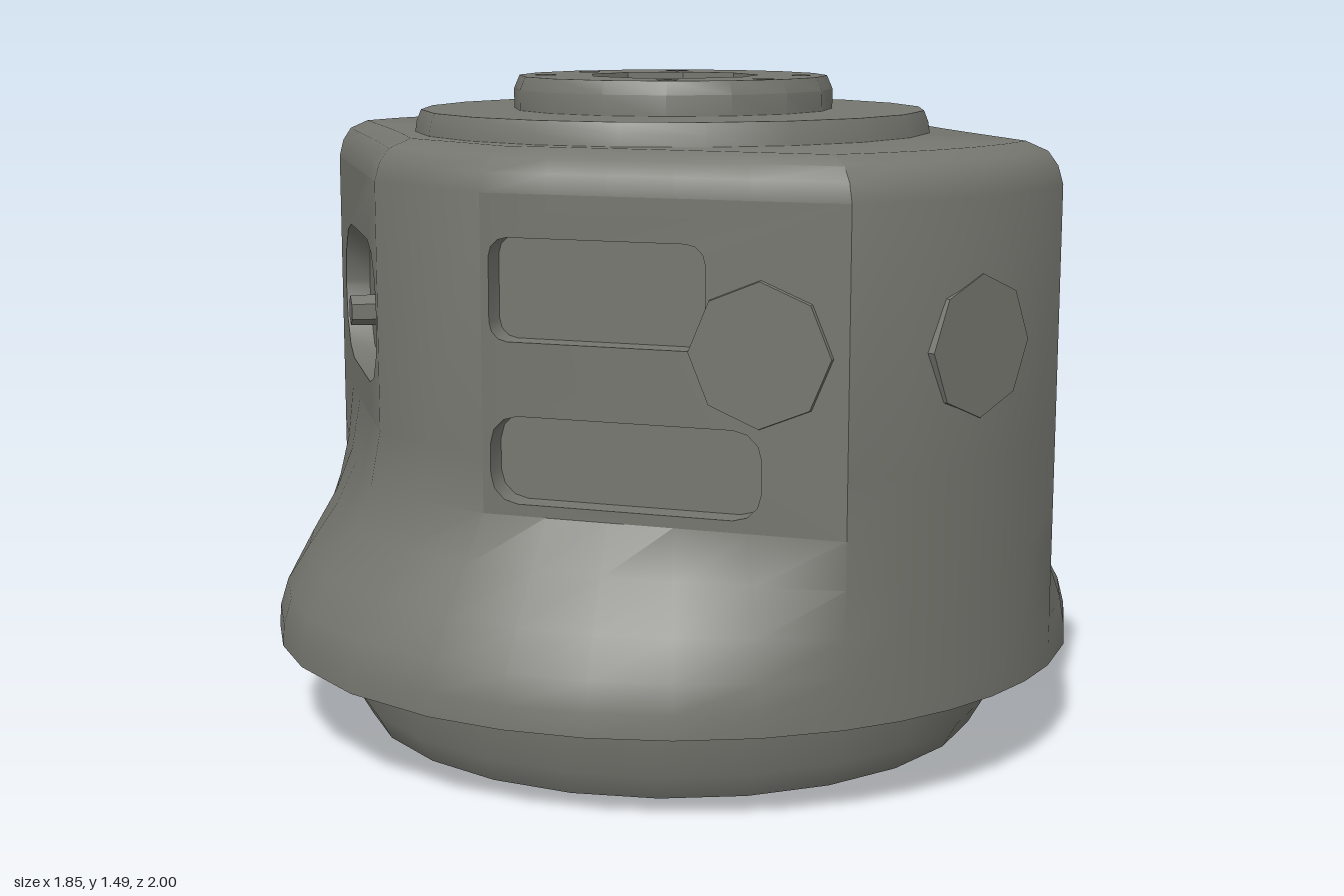
import * as THREE from 'three';
import { toCreasedNormals } from 'three/addons/utils/BufferGeometryUtils.js';

const CZ = 0.07;            // axis of the housing
const R = 0.925;            // round radius
const FLAT = 0.707;         // distance of the side flats from the axis
const TILT = THREE.MathUtils.degToRad(29);
const CORNER = TILT + Math.acos(FLAT / R);   // where flats meet the round faces
const LOW = 0.6, Y0 = 0.72, Y1 = 1.27;       // bottom of the slotted panel, of the others, and their top
const DEPTH = 0.06;

const mat = new THREE.MeshStandardMaterial({ color: 0x767670, side: THREE.DoubleSide });

function put(parent, name, geo) {
  const mesh = new THREE.Mesh(geo, mat);
  mesh.name = name;
  parent.add(mesh);
  return mesh;
}

const add = (parent, name, geo, crease = 0.55) => put(parent, name, toCreasedNormals(geo, crease));

function lathe(parent, name, pts, sides) {
  return add(parent, name, new THREE.LatheGeometry(pts.map(p => new THREE.Vector2(...p)), sides));
}

// Regular polygon outline
function ring(x, y, r, n, turn = 0) {
  return Array.from({ length: n }, (_, i) => {
    const a = turn + i / n * Math.PI * 2;
    return new THREE.Vector2(x + r * Math.cos(a), y + r * Math.sin(a));
  });
}

// Rounded slot outline between x0 and x1
function slot(x0, x1, y0, y1, r) {
  const pts = [];
  const corners = [[x1 - r, y1 - r], [x0 + r, y1 - r], [x0 + r, y0 + r], [x1 - r, y0 + r]];
  corners.forEach(([cx, cy], q) => {
    for (let i = 0; i <= 3; i++) {
      const a = (q + i / 3) * Math.PI / 2;
      pts.push(new THREE.Vector2(cx + r * Math.cos(a), cy + r * Math.sin(a)));
    }
  });
  return pts;
}

// Radius of the cut upper section at an angle from +x
function cutRadius(a) {
  let r = R;
  for (const side of [0, Math.PI]) for (const t of [-TILT, 0, TILT]) {
    const c = Math.cos(a - side - t);
    if (c > 0) r = Math.min(r, FLAT / c);
  }
  return r;
}

// Housing: round at the foot, flattened above, rounded shoulder
function housing() {
  const half = [-CORNER];
  const fill = (from, to, n) => { for (let i = 1; i <= n; i++) half.push(from + (to - from) * i / n); };
  fill(-CORNER, -TILT / 2, 5);
  fill(-TILT / 2, TILT / 2, 2);
  fill(TILT / 2, CORNER, 5);
  fill(CORNER, Math.PI - CORNER, 5);
  half.pop();
  const angles = [...half, ...half.map(a => a + Math.PI)];
  // height, share of the round section, inset
  const rows = [[0.21, 1, 0], [0.26, 0.985, 0], [0.32, 0.9, 0], [0.4, 0.66, 0], [0.5, 0.34, 0], [LOW, 0.12, 0],
    [Y0, 0, 0], [Y1, 0, 0], [1.31, 0, 0.012], [1.34, 0, 0.035], [1.36, 0, 0.085]];
  const pos = [], idx = [], kept = [], n = angles.length, h = half.length;
  for (const [y, share, inset] of rows) angles.forEach((a, i) => {
    const slotted = i >= h && i <= h + 5 && y >= LOW;
    const r = THREE.MathUtils.lerp(cutRadius(a), R, slotted ? 0 : share) - inset;
    pos.push(r * Math.cos(a), y, r * Math.sin(a));
  });
  const tri = (a, b, c, keep) => { if (keep) kept.push(idx.length, idx.length + 1, idx.length + 2); idx.push(a, b, c); };
  for (let j = 0; j < rows.length - 1; j++) for (let i = 0; i < n; i++) {
    const k = i % h, y = rows[j][0];
    // openings filled by the pocketed panels
    const open = (y === Y0 && (k < 5 || (k >= 7 && k < 12))) || (y === LOW && i >= h && i < h + 5);
    const a = j * n + i, b = j * n + (i + 1) % n;
    tri(a, a + n, b, !open);
    tri(b, a + n, b + n, !open);
  }
  const top = (rows.length - 1) * n, c = pos.length / 3;
  pos.push(0, 1.36, 0, 0, 0.21, 0);
  for (let i = 0; i < n; i++) {
    const k = (i + 1) % n;
    tri(top + i, c, top + k, true);
    tri(i, k, c + 1, true);
  }
  const g = new THREE.BufferGeometry();
  g.setAttribute('position', new THREE.Float32BufferAttribute(pos, 3));
  g.setIndex(idx);
  const smooth = toCreasedNormals(g, 0.6);
  smooth.setIndex(kept);
  return smooth;
}

// Stack of hexagonal and round steps along +z: [radius, z0, z1, sides]
function fitting(parent, name, x, y, z, steps) {
  const g = new THREE.Group();
  g.name = name;
  g.position.set(x, y, z);
  for (const [r, z0, z1, sides] of steps) {
    const m = add(g, name + 'Step', new THREE.CylinderGeometry(r * 0.96, r, z1 - z0, sides).rotateX(Math.PI / 2), 0.3);
    m.position.z = (z0 + z1) / 2;
  }
  parent.add(g);
}

// Flat side panel with pockets; s runs along the flat towards the round face
function panel(parent, name, angle, sign, y0, holes) {
  const g = new THREE.Group();
  g.name = name;
  g.rotation.y = Math.PI / 2 - angle;
  const s0 = -FLAT * Math.tan(TILT / 2), s1 = FLAT * Math.tan(CORNER - TILT);
  const flip = pts => pts.map(p => new THREE.Vector2(p.x * sign, p.y));
  const outline = [[s0, y0], [0, y0], [s1, y0], [s1, Y1], [0, Y1], [s0, Y1]];
  const shape = new THREE.Shape(flip(outline.map(p => new THREE.Vector2(...p))));
  shape.holes = holes.map(h => new THREE.Path(flip(h)));
  const face = add(g, name + 'Face', new THREE.ExtrudeGeometry(shape, { depth: DEPTH, bevelEnabled: false }));
  face.position.z = FLAT - DEPTH;
  // turn the normals near the middle flat so the two blend smoothly
  const { position, normal } = face.geometry.attributes;
  for (let i = 0; i < position.count; i++) {
    if (normal.getZ(i) < 0.9) continue;
    const t = THREE.MathUtils.clamp(position.getX(i) * sign / s0, 0, 1) * TILT / 2;
    normal.setXYZ(i, -sign * Math.sin(t), 0, Math.cos(t));
  }
  const floor = add(g, name + 'PocketFloor', new THREE.PlaneGeometry(s1 - s0, Y1 - y0));
  floor.position.set(sign * (s0 + s1) / 2, (y0 + Y1) / 2, FLAT - DEPTH + 0.002);
  parent.add(g);
  return g;
}

function cap(parent, x, z) {
  const m = add(parent, 'cap', new THREE.CylinderGeometry(0.148, 0.153, 0.03, 8).rotateX(Math.PI / 2), 0.3);
  m.position.set(x, 0.965, z - 0.015);
}

export function createModel() {
  const model = new THREE.Group();
  model.name = 'housingAssembly';
  const body = new THREE.Group();
  body.name = 'body';
  body.position.z = CZ;
  model.add(body);

  put(body, 'housing', housing());
  lathe(body, 'base', [[0, 0], [0.715, 0.012], [0.748, 0.07], [0.752, 0.215]], 24);
  lathe(body, 'topPlate', [[0.59, 1.35], [0.585, 1.385], [0.575, 1.41], [0, 1.41]], 20);

  // Top ring with centre bore and six bolt holes
  const ringShape = new THREE.Shape(ring(0, 0, 0.352, 16));
  ringShape.holes.push(new THREE.Path(ring(0, 0, 0.195, 9)));
  for (const d of [45, 90, 135, 225, 270, 315]) {
    const a = THREE.MathUtils.degToRad(d);
    ringShape.holes.push(new THREE.Path(ring(0.292 * Math.cos(a), 0.292 * Math.sin(a), 0.032, 4, a)));
  }
  const ringGeo = new THREE.ExtrudeGeometry(ringShape, { depth: 0.08, bevelEnabled: false }).rotateX(-Math.PI / 2);
  add(body, 'topRing', ringGeo).position.y = 1.405;
  lathe(body, 'topRingEdge', [[0.365, 1.4], [0.365, 1.455], [0.352, 1.485]], 16);

  // Side panels
  const nut = [[0.135, -0.065, -0.01, 8], [0.115, -0.01, 0.045, 6], [0.085, 0.045, 0.075, 8], [0.066, 0.075, 0.125, 6]];
  const longSlot = slot(-0.155, 0.5, 0.8, 1.125, 0.155);
  const frontLeft = panel(body, 'frontLeftPanel', TILT, -1, Y0, [ring(0.01, 0.965, 0.16, 12)]);
  fitting(frontLeft, 'connector', -0.01, 0.965, FLAT, nut);
  cap(frontLeft, -0.415, FLAT + 0.01);

  const backLeft = panel(body, 'backLeftPanel', -TILT, 1, Y0, [longSlot]);
  fitting(backLeft, 'connector', 0, 0.965, FLAT, nut);

  const backRight = panel(body, 'backRightPanel', Math.PI + TILT, -1, Y0, [longSlot]);
  fitting(backRight, 'smallConnector', 0, 0.965, FLAT,
    [[0.15, -0.065, -0.045, 10], [0.06, -0.045, -0.02, 6], [0.035, -0.02, 0.04, 6]]);

  const frontRight = panel(body, 'frontRightPanel', Math.PI - TILT, 1, LOW,
    [slot(-0.165, 0.3, 0.965, 1.18, 0.04), slot(-0.165, 0.42, 0.625, 0.81, 0.06)]);
  cap(frontRight, 0.415, FLAT + 0.01);

  // Front cap, rear fitting, foot mark
  cap(body, 0, R);
  const rear = new THREE.Group();
  rear.name = 'rear';
  rear.rotation.y = Math.PI;
  body.add(rear);
  fitting(rear, 'rearFitting', 0.01, 0.965, R,
    [[0.1, -0.04, 0.008, 8], [0.068, 0, 0.03, 10], [0.086, 0.025, 0.13, 6], [0.065, 0.13, 0.145, 8]]);
  add(body, 'footMark', new THREE.BoxGeometry(0.03, 0.1, 0.022)).position.set(R - 0.017, 0.26, 0.01);
  return model;
}
